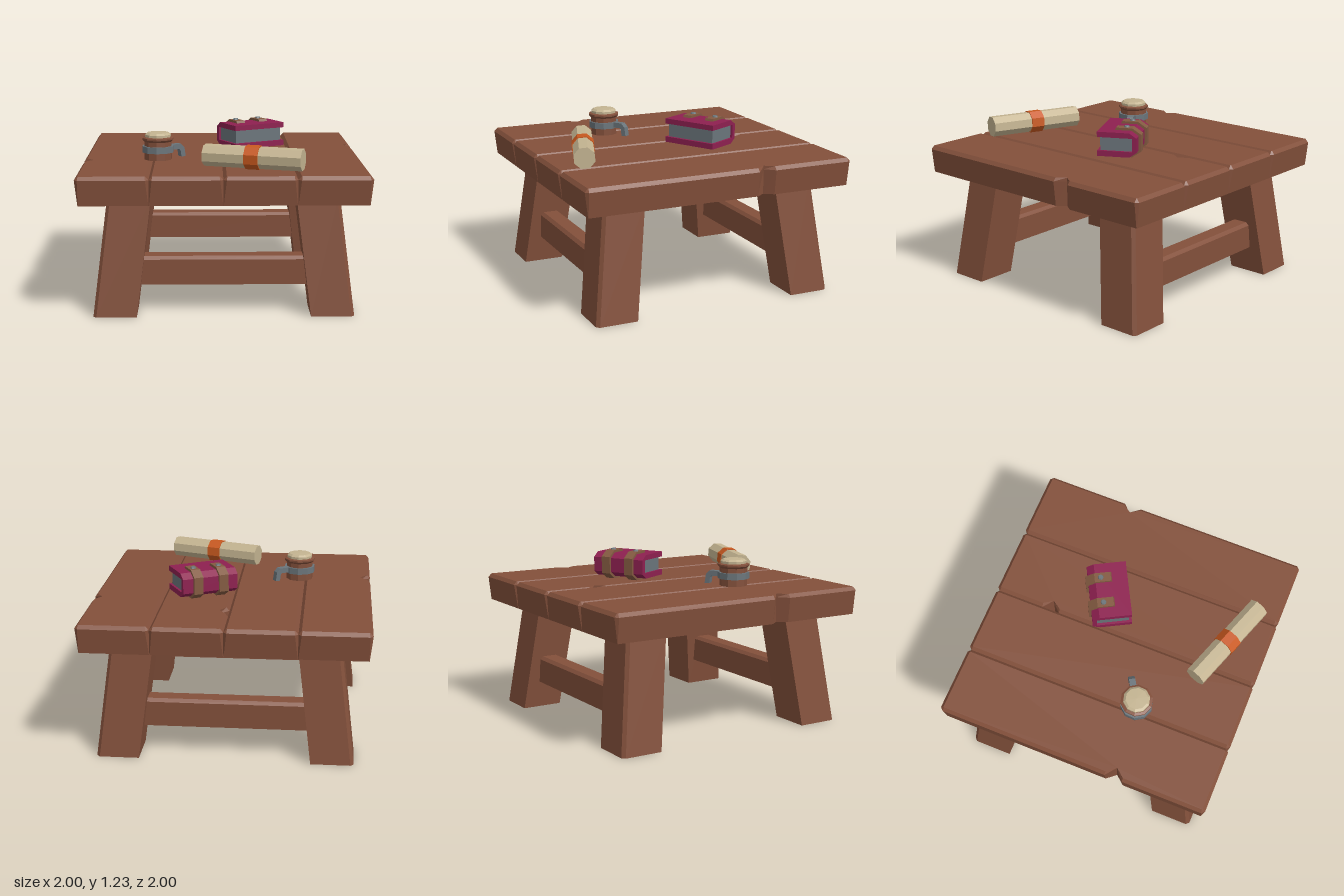
import * as THREE from 'three';

const mat = (name, color) => {
  const m = new THREE.MeshStandardMaterial({ color, flatShading: true });
  m.name = name;
  return m;
};

// Closed solid through matching plan rings, bottom to top, counterclockwise from above
function loft(rings) {
  const pos = [];
  const n = rings[0].length;
  const tri = (...p) => p.forEach(v => pos.push(...v));
  for (let k = 0; k < rings.length - 1; k++) {
    for (let i = 0; i < n; i++) {
      const j = (i + 1) % n, lo = rings[k], hi = rings[k + 1];
      tri(lo[i], lo[j], hi[j]);
      tri(lo[i], hi[j], hi[i]);
    }
  }
  const cap = (ring, up) => {
    const flat = ring.map(p => new THREE.Vector2(p[0], -p[2]));
    for (const [a, b, c] of THREE.ShapeUtils.triangulateShape(flat, [])) {
      if (up) tri(ring[a], ring[b], ring[c]);
      else tri(ring[a], ring[c], ring[b]);
    }
  };
  cap(rings[0], false);
  cap(rings[rings.length - 1], true);
  const g = new THREE.BufferGeometry();
  g.setAttribute('position', new THREE.Float32BufferAttribute(pos, 3));
  g.computeVertexNormals();
  return g;
}

// Side profile in (z, y), extruded along x and centred
function sideExtrude(points, width) {
  const shape = new THREE.Shape(points.map(p => new THREE.Vector2(...p)));
  const g = new THREE.ExtrudeGeometry(shape, { depth: width, bevelEnabled: false });
  return g.translate(0, 0, -width / 2).rotateY(-Math.PI / 2);
}

export function createModel() {
  const model = new THREE.Group();
  model.name = 'table';
  const wood = mat('wood', 0x83503b);
  const paper = mat('paper', 0xc4b491);
  const metal = mat('metal', 0x6b757b);
  const cover = mat('cover', 0x8e2050);
  const ribbon = mat('ribbon', 0xc9591f);
  const strapMat = mat('leather', 0x835a41);

  const add = (parent, name, geo, material, x = 0, y = 0, z = 0) => {
    const m = new THREE.Mesh(geo, material);
    m.name = name;
    m.position.set(x, y, z);
    parent.add(m);
    return m;
  };
  const group = (name, x, y, z, turn) => {
    const g = new THREE.Group();
    g.name = name;
    g.position.set(x, y, z);
    g.rotation.y = turn;
    model.add(g);
    return g;
  };

  // Tabletop planks with bevelled tops, cut corners and chipped edges
  const edges = [-1, -0.505, -0.005, 0.495, 1];
  const chips = [
    { left: [-0.925, 0.325] }, {}, { left: [0.06, -0.575] }, { right: [0.935, -0.33] },
  ];
  chips.forEach((chip, i) => {
    const ring = (y, l, r, z, c) => {
      const notch = (x, spot, s) => spot
        ? [[x, y, spot[1] + 0.065 * s], [spot[0], y, spot[1]], [x, y, spot[1] - 0.065 * s]] : [];
      return [
        [l + c, y, z], [r - c, y, z], [r, y, z - c], ...notch(r, chip.right, 1),
        [r, y, -z + c], [r - c, y, -z], [l + c, y, -z], [l, y, -z + c],
        ...notch(l, chip.left, -1), [l, y, z - c],
      ];
    };
    const l = edges[i], r = edges[i + 1];
    add(model, 'plank', loft([
      ring(0.8, l + (i === 0 ? 0.02 : 0), r - (i === 3 ? 0.02 : 0), 0.98, 0.002),
      ring(0.975, l, r, 1, 0.022),
      ring(1, l + 0.022, r - 0.022, 0.978, 0.004),
    ]), wood);
  });

  // Splayed legs with the outer corner cut
  for (const sx of [-1, 1]) {
    for (const sz of [-1, 1]) {
      const ring = (y, a) => {
        const b = a + 0.3, c = b - 0.022;
        const pts = [[a, a], [b, a], [b, c], [c, b], [a, b]].map(([x, z]) => [x * sx, y, z * sz]);
        return sx * sz > 0 ? pts.reverse() : pts;
      };
      add(model, 'leg', loft([ring(0, 0.6), ring(0.805, 0.5)]), wood);
    }
  }

  // Stretchers between the legs
  for (const z of [-0.705, 0.705]) {
    add(model, 'stretcher', sideExtrude([
      [-0.075, 0.2], [0.075, 0.2], [0.075, 0.378], [0.053, 0.4], [-0.053, 0.4], [-0.075, 0.378],
    ], 1.2), wood, 0, 0, z);
  }

  // Mug with band, froth and bent handle
  const mug = group('mug', -0.465, 1, 0.285, 0.56);
  const lathe = pts => new THREE.LatheGeometry(pts.map(p => new THREE.Vector2(...p)), 10);
  add(mug, 'mugBody', lathe([
    [0, 0], [0.1, 0], [0.1, 0.13], [0.115, 0.145], [0.115, 0.157], [0.098, 0.163], [0, 0.163],
  ]), wood);
  add(mug, 'mugBand', lathe([[0.1, 0.052], [0.115, 0.052], [0.115, 0.098], [0.1, 0.098]]), metal);
  add(mug, 'froth', lathe([[0.095, 0.155], [0.095, 0.18], [0.078, 0.193], [0, 0.196]]), paper);
  const handle = new THREE.Shape([
    [0.1, 0.098], [0.18, 0.098], [0.208, 0.07], [0.218, 0.004],
    [0.182, 0.004], [0.175, 0.052], [0.163, 0.06], [0.1, 0.06],
  ].map(p => new THREE.Vector2(...p)));
  add(mug, 'mugHandle', new THREE.ExtrudeGeometry(handle, { depth: 0.045, bevelEnabled: false }),
    metal, 0, 0, -0.0225);

  // Book with spine to the back, two straps and studs
  const book = group('book', 0.215, 1, -0.2, 0.495);
  add(book, 'bookCover', sideExtrude([
    [0.142, 0.2], [-0.09, 0.2], [-0.142, 0.165], [-0.142, 0.06], [-0.09, 0.025], [0.142, 0.025],
    [0.142, 0.065], [-0.11, 0.065], [-0.11, 0.162], [0.142, 0.162],
  ], 0.42), cover);
  add(book, 'pages', new THREE.BoxGeometry(0.385, 0.1, 0.235), metal, 0, 0.113, 0.004);
  for (const x of [-0.097, 0.097]) {
    add(book, 'strap', sideExtrude([
      [0.03, 0.198], [0.022, 0.217], [-0.095, 0.217], [-0.16, 0.174], [-0.16, 0.051],
      [-0.095, 0.007], [0.022, 0.007], [0.03, 0.027], [-0.09, 0.027], [-0.14, 0.06],
      [-0.14, 0.165], [-0.09, 0.198],
    ], 0.07), strapMat, x);
    add(book, 'stud', new THREE.CylinderGeometry(0.017, 0.022, 0.012, 8), metal, x, 0.221, -0.05);
  }

  // Rolled scroll with ribbon
  const scroll = group('scroll', 0.205, 1.083, 0.712, -0.34);
  const roll = (r, length) => new THREE.CylinderGeometry(r, r, length, 8)
    .rotateY(0.3).rotateZ(Math.PI / 2);
  add(scroll, 'paperRoll', roll(0.078, 0.705), paper);
  add(scroll, 'ribbon', roll(0.085, 0.1), ribbon);

  return model;
}
